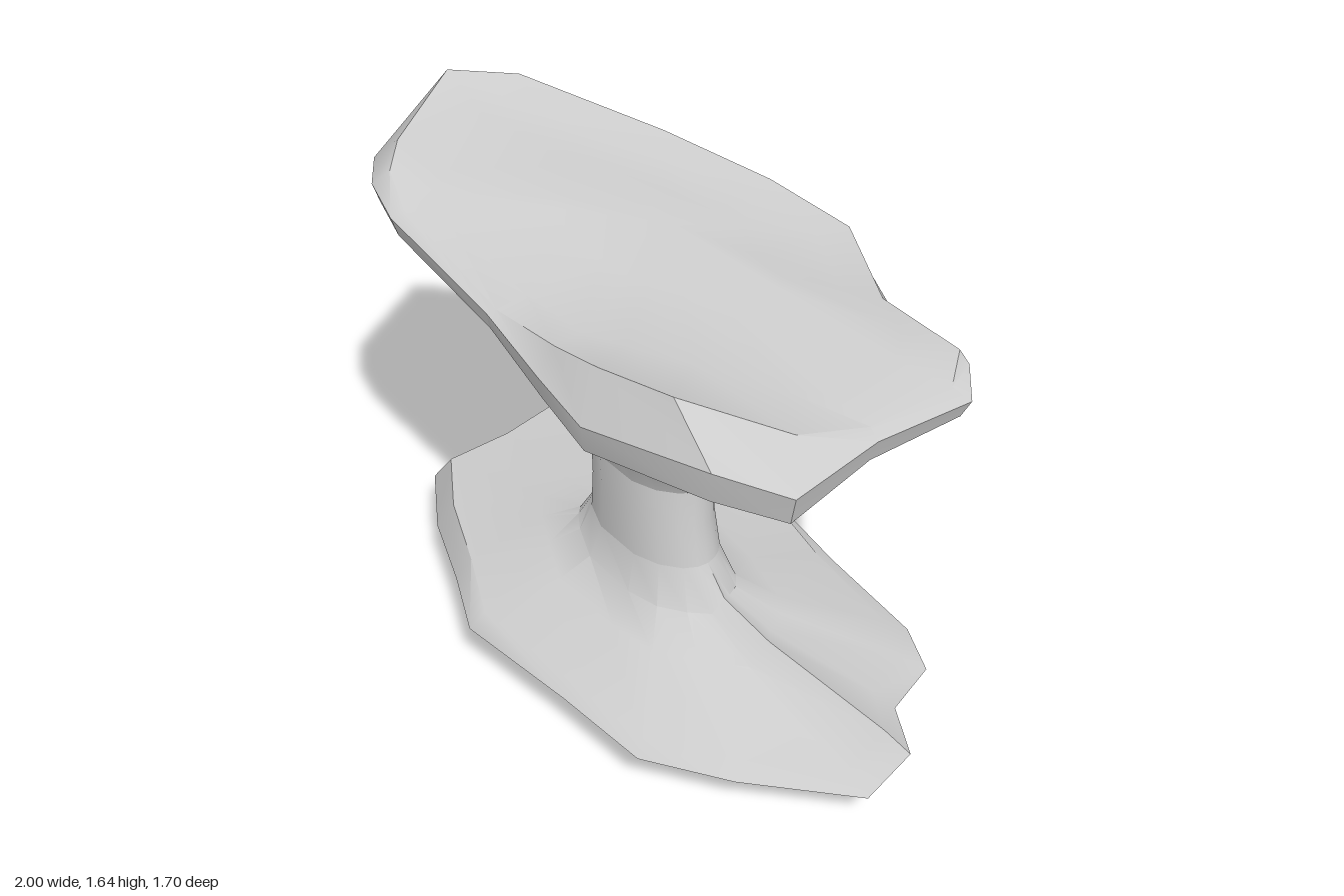
import * as THREE from 'three';
import { toCreasedNormals } from 'three/addons/utils/BufferGeometryUtils.js';

const mix = (a, b, t) => a + (b - a) * t;

// Outer rim of the leaning upper slab, as x, y, z
const SLAB_RIM = [
  [0.72, 1.36, -0.02], [0.96, 1.42, 0.2], [1, 1.4, 0.34], [0.8, 1.35, 0.53],
  [0.66, 1.32, 0.8], [0.45, 1.38, 0.845], [0.04, 1.33, 0.71], [-0.15, 1.34, 0.55],
  [-0.4, 1.37, 0.34], [-0.8, 1.48, 0.12], [-0.92, 1.51, 0], [-1, 1.5, -0.17],
  [-0.96, 1.58, -0.6], [-0.7, 1.55, -0.69], [-0.2, 1.44, -0.6], [0.2, 1.42, -0.52],
  [0.5, 1.39, -0.34],
];

// Bevelled lip just inside the rim
const SLAB_LIP = [
  [0.66, 1.42, -0.04], [0.93, 1.46, 0.2], [0.94, 1.42, 0.32], [0.77, 1.37, 0.5],
  [0.62, 1.43, 0.68], [0.3, 1.49, 0.71], [0.05, 1.46, 0.61], [-0.12, 1.42, 0.5],
  [-0.37, 1.38, 0.33], [-0.77, 1.5, 0.09], [-0.86, 1.56, -0.01], [-0.89, 1.6, -0.13],
  [-0.92, 1.64, -0.55], [-0.7, 1.63, -0.62], [-0.18, 1.56, -0.54], [0.2, 1.51, -0.44],
  [0.48, 1.46, -0.33],
];

// Outer rim of the base slab, with shallow notches at its ends
const BASE_RIM = [
  [0.82, 0.17, -0.09], [0.92, 0.17, 0.07], [0.87, 0.17, 0.27], [0.97, 0.23, 0.5],
  [0.88, 0.13, 0.62], [0.5, 0.15, 0.71], [0.2, 0.16, 0.73], [-0.1, 0.17, 0.58],
  [-0.5, 0.18, 0.4], [-0.64, 0.19, 0.2], [-0.83, 0.17, -0.05], [-0.96, 0.17, -0.3],
  [-0.8, 0.2, -0.49], [-0.71, 0.2, -0.73], [-0.5, 0.19, -0.85], [0.1, 0.18, -0.68],
  [0.5, 0.18, -0.33],
];

// Oval stem section, its long axis turned along the slabs
const TURN = 0.58;
const stemRing = (y, long, short, cx, cz) => SLAB_RIM.map(([x, , z], i) => {
  const a = Math.atan2(z + BASE_RIM[i][2], x + BASE_RIM[i][0]) - TURN;
  const u = long * Math.cos(a), v = short * Math.sin(a);
  return [
    cx + u * Math.cos(TURN) - v * Math.sin(TURN), y,
    cz + u * Math.sin(TURN) + v * Math.cos(TURN),
  ];
});

// Ring part of the way from one ring to another: t outwards, s upwards
const between = (from, to, t, s) => from.map((p, i) => [
  mix(p[0], to[i][0], t), mix(p[1], to[i][1], s), mix(p[2], to[i][2], t),
]);

// Lower a ring by an amount that depends on z
const lower = (ring, drop) => ring.map(([x, y, z]) => [x, y - drop(z), z]);

const point = (x, y, z) => SLAB_RIM.map(() => [x, y, z]);

// Skin a stack of rings, listed from top to bottom
function loft(name, rings, crease) {
  const pos = [];
  const same = (p, q) => p.every((v, k) => v === q[k]);
  const tri = (a, b, c) => {
    if (!same(a, b) && !same(b, c) && !same(a, c)) pos.push(...a, ...b, ...c);
  };
  for (let r = 0; r < rings.length - 1; r++) {
    const A = rings[r], B = rings[r + 1];
    for (let i = 0; i < A.length; i++) {
      const j = (i + 1) % A.length;
      tri(A[i], A[j], B[i]);
      tri(A[j], B[j], B[i]);
    }
  }
  const geo = new THREE.BufferGeometry();
  geo.setAttribute('position', new THREE.Float32BufferAttribute(pos, 3));
  const mesh = new THREE.Mesh(
    toCreasedNormals(geo, crease),
    new THREE.MeshStandardMaterial({ color: 0xcccccc }),
  );
  mesh.name = name;
  return mesh;
}

export function createModel() {
  const group = new THREE.Group();
  group.name = 'rockPedestal';

  const neckTop = stemRing(0.76, 0.25, 0.155, -0.01, 0.025);
  const neckLow = stemRing(0.5, 0.265, 0.16, 0.005, 0.05);

  // Upper slab: gently ridged top, trough behind the front lip, flaring underside
  const trough = SLAB_LIP.map(([x, y, z]) => [
    0.82 * x,
    z > 0.4 ? 1.38 : mix(y, 1.45, 0.4),
    Math.min(0.82 * z, 0.37 + 0.1 * x),
  ]);
  const middle = point(0, 1.49, -0.12);
  group.add(loft('upperSlab', [
    middle,
    between(middle, trough, 0.5, 0.5),
    trough,
    SLAB_LIP,
    SLAB_RIM,
    lower(between(neckTop, SLAB_RIM, 0.965, 0.92), (z) => 0.1 * Math.max(0, z - 0.25)),
    between(neckTop, SLAB_RIM, 0.6, 0.72),
    between(neckTop, SLAB_RIM, 0.34, 0.5),
    between(neckTop, SLAB_RIM, 0.11, 0.26),
    neckTop,
  ], 0.65));

  // Waisted stem
  group.add(loft('stem', [
    neckTop,
    stemRing(0.63, 0.25, 0.15, -0.005, 0.04),
    neckLow,
  ], 0.8));

  // Base: skirt spreading to a thick edge, higher towards the back right
  const shoulder = between(neckLow, BASE_RIM, 0.88, 1).map(([x, y, z]) => [
    x, y + THREE.MathUtils.clamp(0.05 - 0.08 * (x + z), 0.03, 0.12), z,
  ]);
  const sole = BASE_RIM.map(([x, , z]) => [
    0.9 * x,
    Math.max(0, 0.07 - 0.11 * Math.abs(z)) + 0.07 * Math.max(0, Math.abs(x) - 0.55),
    (z > 0 ? 0.74 : 0.86) * z,
  ]);
  group.add(loft('base', [
    neckLow,
    lower(between(neckLow, shoulder, 0.1, 0.43), (z) => 0.3 * Math.max(0, -z)),
    lower(between(neckLow, shoulder, 0.36, 0.7), (z) => 0.07 * Math.max(0, -z)),
    shoulder,
    BASE_RIM,
    sole,
    point(0, 0.03, 0),
  ], 0.65));

  return group;
}
